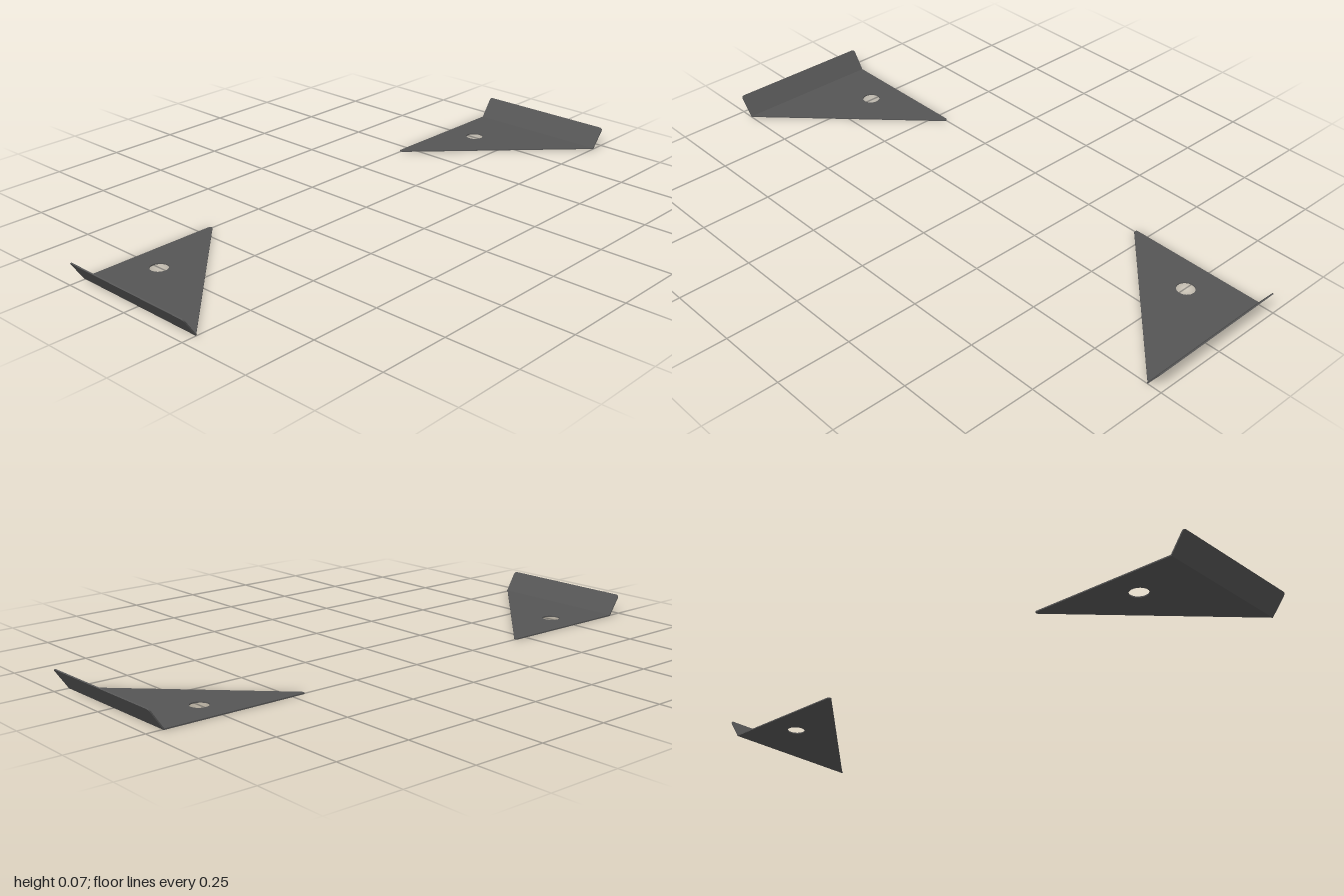
import * as THREE from 'three';

const T = 0.004;      // sheet thickness
const BEND = 0.948;   // distance of the fold line from the centre
const RISE = 0.068, RUN = 0.047;
const LEN = Math.hypot(RISE, RUN);

// Extrudes a flat outline and places every vertex with map(x, v, w) -> [x, y, z];
// flip reverses the corner order when the map is a reflection.
function sheet(shape, map, flip) {
  const g = new THREE.ExtrudeGeometry(shape, { depth: T, bevelEnabled: false, curveSegments: 16 });
  g.deleteAttribute('uv');
  const p = g.attributes.position;
  for (let i = 0; i < p.count; i++) p.setXYZ(i, ...map(p.getX(i), p.getY(i), p.getZ(i)));
  if (flip) {
    const a = new THREE.Vector3(), b = new THREE.Vector3();
    for (let i = 0; i < p.count; i += 3) {
      a.fromBufferAttribute(p, i + 1);
      b.fromBufferAttribute(p, i + 2);
      p.setXYZ(i + 1, b.x, b.y, b.z);
      p.setXYZ(i + 2, a.x, a.y, a.z);
    }
  }
  g.computeVertexNormals();
  return g;
}

// Triangular plate with a blunted tip and a round screw hole
function plateShape() {
  const s = new THREE.Shape();
  s.moveTo(-0.255, BEND);
  s.lineTo(-0.255, 0.464);
  s.quadraticCurveTo(-0.254, 0.455, -0.243, 0.459);
  s.lineTo(0.25, BEND);
  s.closePath();
  const hole = new THREE.Path();
  hole.absarc(-0.145, 0.755, 0.03, 0, Math.PI * 2, true);
  s.holes.push(hole);
  return s;
}

// Long flange with rounded upper corners
function flangeShape() {
  const s = new THREE.Shape(), r = 0.011;
  s.moveTo(-0.255, 0);
  s.lineTo(0.25, 0);
  s.lineTo(0.254, LEN - r);
  s.quadraticCurveTo(0.254, LEN, 0.254 - r, LEN);
  s.lineTo(-0.255 + r, LEN);
  s.quadraticCurveTo(-0.255, LEN, -0.255, LEN - r);
  s.closePath();
  return s;
}

export function createModel() {
  const model = new THREE.Group();
  model.name = 'cornerBrackets';
  const mat = new THREE.MeshStandardMaterial({ color: 0x555555 });

  for (const side of [1, -1]) {
    const bracket = new THREE.Group();
    bracket.name = side > 0 ? 'frontBracket' : 'backBracket';
    const skew = (x) => 0.01 * x;  // the fold runs very slightly askew

    const plate = new THREE.Mesh(
      sheet(plateShape(), (x, v, w) => [x, w, side * (v + skew(x))], side > 0), mat);
    plate.name = 'plate';

    // The flange leans outward from the fold; its thickness lies on the inner side
    const flange = new THREE.Mesh(
      sheet(flangeShape(), (x, v, w) => [
        x,
        (v * RISE + w * RUN) / LEN,
        side * (BEND + (v * RUN - w * RISE) / LEN + skew(x)),
      ], side > 0), mat);
    flange.name = 'flange';

    bracket.add(plate, flange);
    model.add(bracket);
  }
  return model;
}
